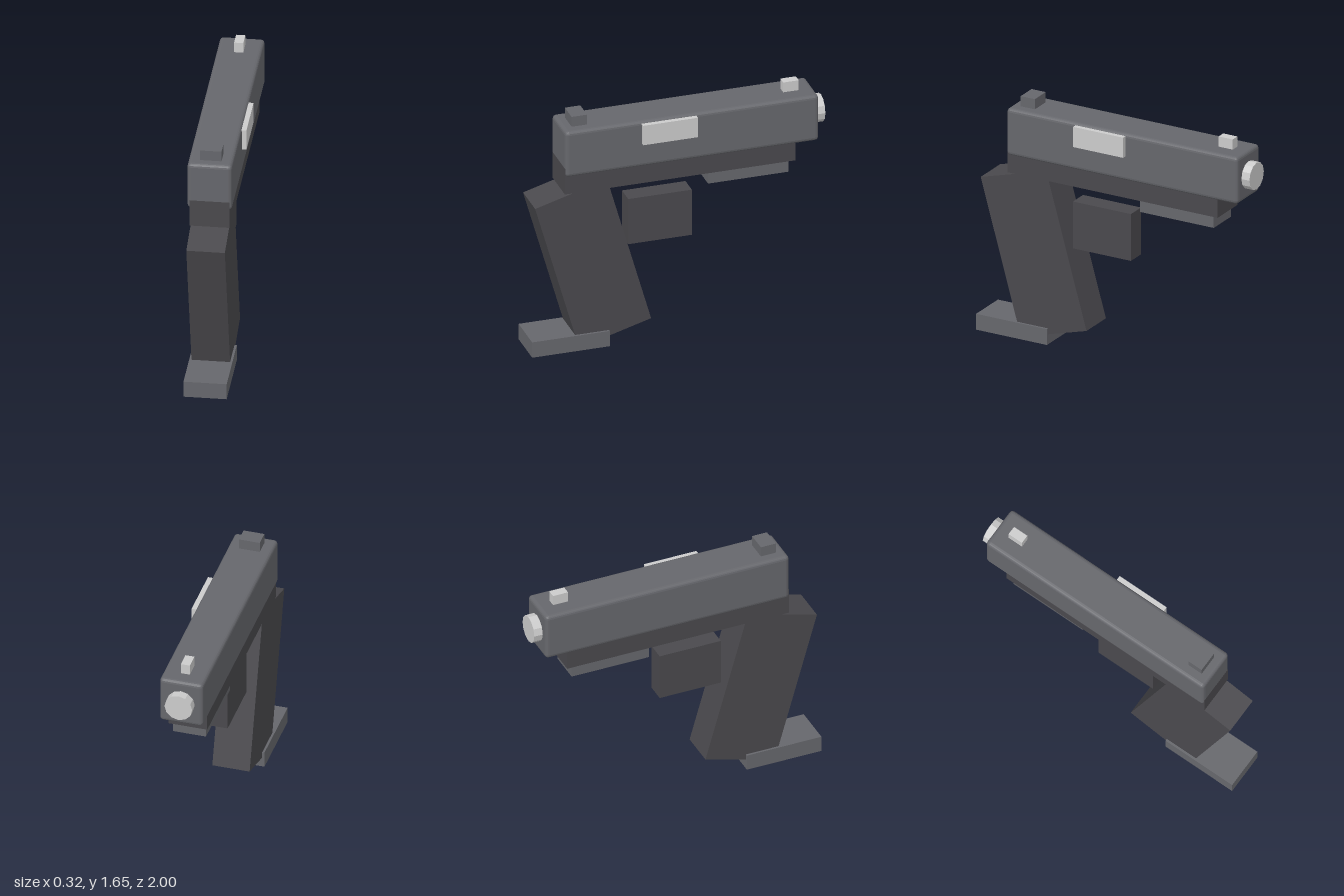
import * as THREE from 'three';
import { RoundedBoxGeometry } from 'three/addons/geometries/RoundedBoxGeometry.js';

const CX = -0.015; // shared centre plane of the body

const mat = (color) => new THREE.MeshStandardMaterial({ color, flatShading: true });

export function createModel() {
  const model = new THREE.Group();
  const steel = mat(0x66676c);
  const polymer = mat(0x4a494d);
  const bright = mat(0xcccccc);

  const add = (name, geometry, material, x, y, z) => {
    const mesh = new THREE.Mesh(geometry, material);
    mesh.name = name;
    mesh.position.set(x, y, z);
    model.add(mesh);
    return mesh;
  };

  // Box given by its width and its y and z ranges
  const block = (name, material, width, y0, y1, z0, z1, x = CX) =>
    add(name, new THREE.BoxGeometry(width, y1 - y0, z1 - z0), material, x, (y0 + y1) / 2, (z0 + z1) / 2);

  // Upper body: rounded slide over a plain frame
  add('slide', new RoundedBoxGeometry(0.29, 0.325, 1.715, 2, 0.025), steel, CX, 1.422, -0.083);
  block('frame', polymer, 0.26, 1.135, 1.32, -0.785, 0.775);
  block('accessoryRail', steel, 0.22, 1.05, 1.14, -0.745, -0.2);

  // Barrel end
  const barrel = add('barrel', new THREE.CylinderGeometry(0.093, 0.093, 0.3, 12), bright, CX, 1.423, -0.85);
  barrel.rotation.x = Math.PI / 2;

  // Sights and side port
  block('rearSight', steel, 0.14, 1.57, 1.655, 0.605, 0.71);
  block('frontSight', bright, 0.06, 1.57, 1.655, -0.84, -0.735);
  block('ejectionPort', bright, 0.06, 1.43, 1.57, -0.11, 0.26, 0.13);

  // Trigger guard block
  block('triggerGuard', polymer, 0.13, 0.675, 1.0, -0.105, 0.325);

  // Slanted grip standing on the base plate
  const grip = add('grip', new THREE.BoxGeometry(0.25, 1.09, 0.506), polymer, CX, 0.605, 0.5825);
  grip.rotation.x = 0.277;
  block('basePlate', steel, 0.28, 0, 0.11, 0.475, 1.0);

  return model;
}
